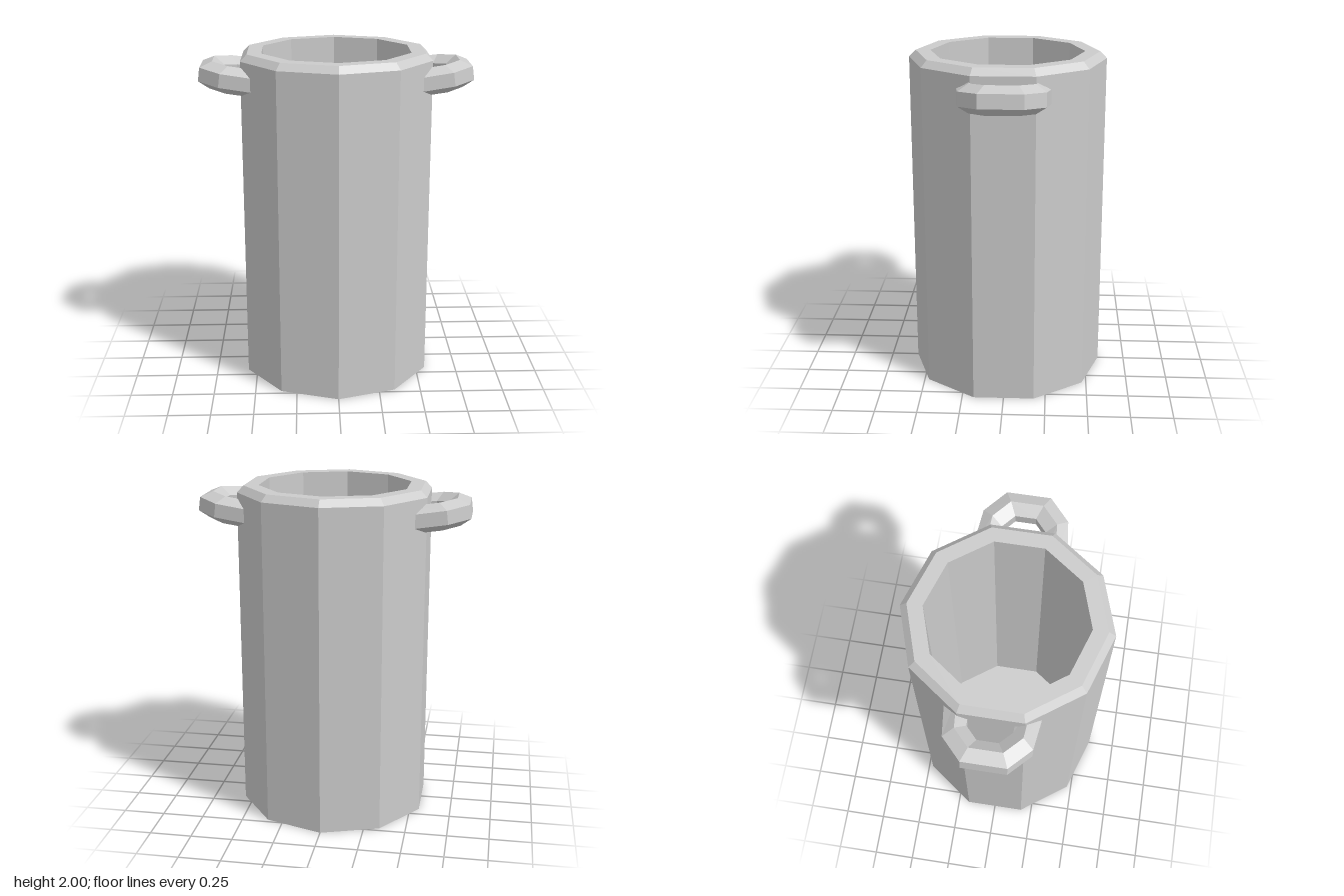
import * as THREE from 'three';

const material = new THREE.MeshStandardMaterial({ color: 0xcccccc, flatShading: true });

// Ten-sided hollow pot with a bevelled rim
function createBody() {
  const profile = [
    [0, 0], [0.585, 0], [0.585, 1.96], [0.545, 2],
    [0.457, 2], [0.457, 0.1], [0, 0.1],
  ].map(([r, y]) => new THREE.Vector2(r, y));
  const geometry = new THREE.LatheGeometry(profile, 10).toNonIndexed();
  geometry.computeVertexNormals();
  const body = new THREE.Mesh(geometry, material);
  body.name = 'body';
  return body;
}

// Hexagonal bar bent into a loop on the +x side, rising slightly outwards
function createHandle(name) {
  const slope = 0.13, radius = 0.08;
  // Each section: centre x, centre z, and its outward half-width in x and z
  const half = [
    [0.46, 0.197, 0.007, 0.069],
    [0.637, 0.182, 0.04, 0.058],
    [0.735, 0.092, 0.067, 0.033],
  ];
  const mirrored = half.map(([x, z, dx, dz]) => [x, -z, dx, -dz]).reverse();
  const rings = [...half, ...mirrored].map(([x, z, dx, dz]) => {
    const ring = [];
    for (let j = 0; j < 6; j++) {
      const angle = (j + 0.5) * Math.PI / 3;
      const a = Math.cos(angle) / Math.cos(Math.PI / 6);
      const b = Math.sin(angle) * radius;
      const y = 1.868 + (x + a * dx - 0.735) * slope + b;
      ring.push([x + a * dx - b * slope, y, z + a * dz]);
    }
    return ring;
  });

  const positions = [];
  for (let i = 0; i < rings.length - 1; i++) {
    for (let j = 0; j < 6; j++) {
      const k = (j + 1) % 6;
      const p = rings[i][j], q = rings[i + 1][j], r = rings[i + 1][k], s = rings[i][k];
      positions.push(...p, ...q, ...s, ...q, ...r, ...s);
    }
  }
  const geometry = new THREE.BufferGeometry();
  geometry.setAttribute('position', new THREE.Float32BufferAttribute(positions, 3));
  geometry.computeVertexNormals();
  const handle = new THREE.Mesh(geometry, material);
  handle.name = name;
  return handle;
}

export function createModel() {
  const model = new THREE.Group();
  model.name = 'pot';
  const leftHandle = createHandle('leftHandle');
  const rightHandle = createHandle('rightHandle');
  rightHandle.rotation.y = Math.PI;
  model.add(createBody(), leftHandle, rightHandle);
  return model;
}
